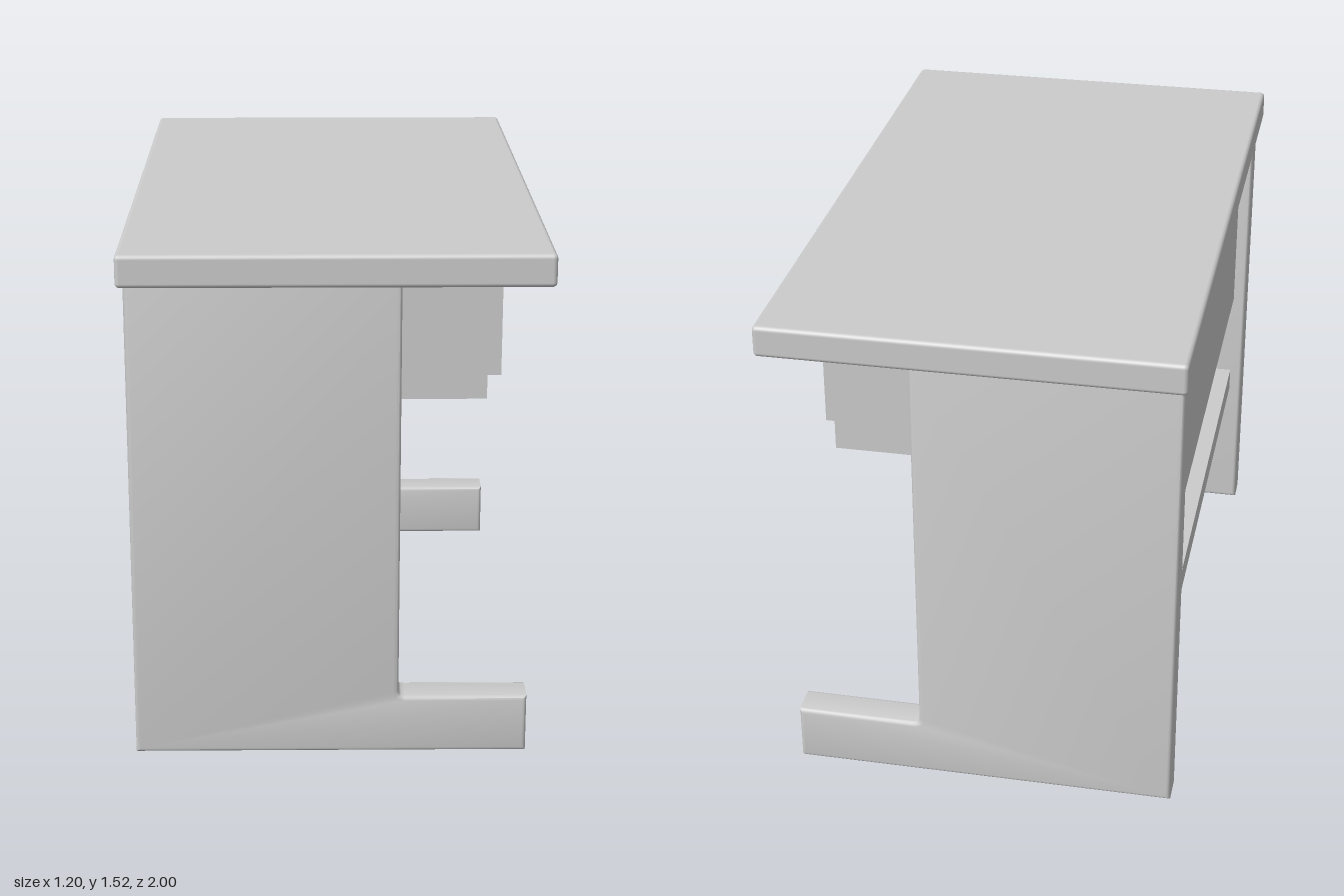
import * as THREE from 'three';
import { toCreasedNormals } from 'three/addons/utils/BufferGeometryUtils.js';
import { RoundedBoxGeometry } from 'three/addons/geometries/RoundedBoxGeometry.js';

const material = new THREE.MeshStandardMaterial({ color: 0xcccccc });

// Box given by its [min, max] range on each axis, with optional rounded edges
function slab(name, [x0, x1], [y0, y1], [z0, z1], radius = 0) {
  const size = [x1 - x0, y1 - y0, z1 - z0];
  const geometry = radius
    ? new RoundedBoxGeometry(...size, 3, radius)
    : new THREE.BoxGeometry(...size);
  const mesh = new THREE.Mesh(geometry, material);
  mesh.name = name;
  mesh.position.set((x0 + x1) / 2, (y0 + y1) / 2, (z0 + z1) / 2);
  return mesh;
}

// L-shaped side panel with a forward foot and softly rounded edges
function sidePanelGeometry() {
  const b = 0.013; // edge rounding; the outline is inset by this much
  const back = -0.585 + b, front = 0.183 - b, toe = 0.557 - b;
  const bottom = 0.003 + b, footTop = 0.178 - b, top = 1.425 - b;
  const shape = new THREE.Shape();
  shape.moveTo(back, bottom);
  shape.lineTo(toe, bottom);
  shape.lineTo(toe, footTop);
  shape.lineTo(front + 0.03, footTop);
  shape.quadraticCurveTo(front, footTop, front, footTop + 0.03);
  shape.lineTo(front, top);
  shape.lineTo(back, top);
  shape.closePath();
  const thickness = 0.105;
  const geometry = new THREE.ExtrudeGeometry(shape, {
    depth: thickness - 2 * b, bevelThickness: b, bevelSize: b, bevelSegments: 3, curveSegments: 4,
  });
  geometry.translate(0, 0, b - thickness / 2);
  return toCreasedNormals(geometry, 0.65);
}

export function createModel() {
  const desk = new THREE.Group();
  desk.name = 'desk';

  // Worktop
  desk.add(slab('tabletop', [-0.6, 0.6], [1.427, 1.52], [-1, 1], 0.013));

  // Side panels
  const panel = sidePanelGeometry();
  for (const side of [-1, 1]) {
    const mesh = new THREE.Mesh(panel, material);
    mesh.name = side > 0 ? 'leftSidePanel' : 'rightSidePanel';
    mesh.position.z = side * 0.878;
    desk.add(mesh);
  }

  // Parts spanning between the side panels
  const span = [-0.826, 0.826];
  desk.add(slab('backPanel', [-0.545, -0.47], [0.813, 1.427], span));
  desk.add(slab('shelf', [-0.545, 0.15], [0.455, 0.53], span));

  // Drawer housing and its raised front
  desk.add(slab('drawerHousing', [-0.47, 0.43], [1.055, 1.424], [-0.822, 0.822]));
  desk.add(slab('drawerFront', [0.42, 0.475], [1.105, 1.368], [-0.757, 0.757]));

  return desk;
}
